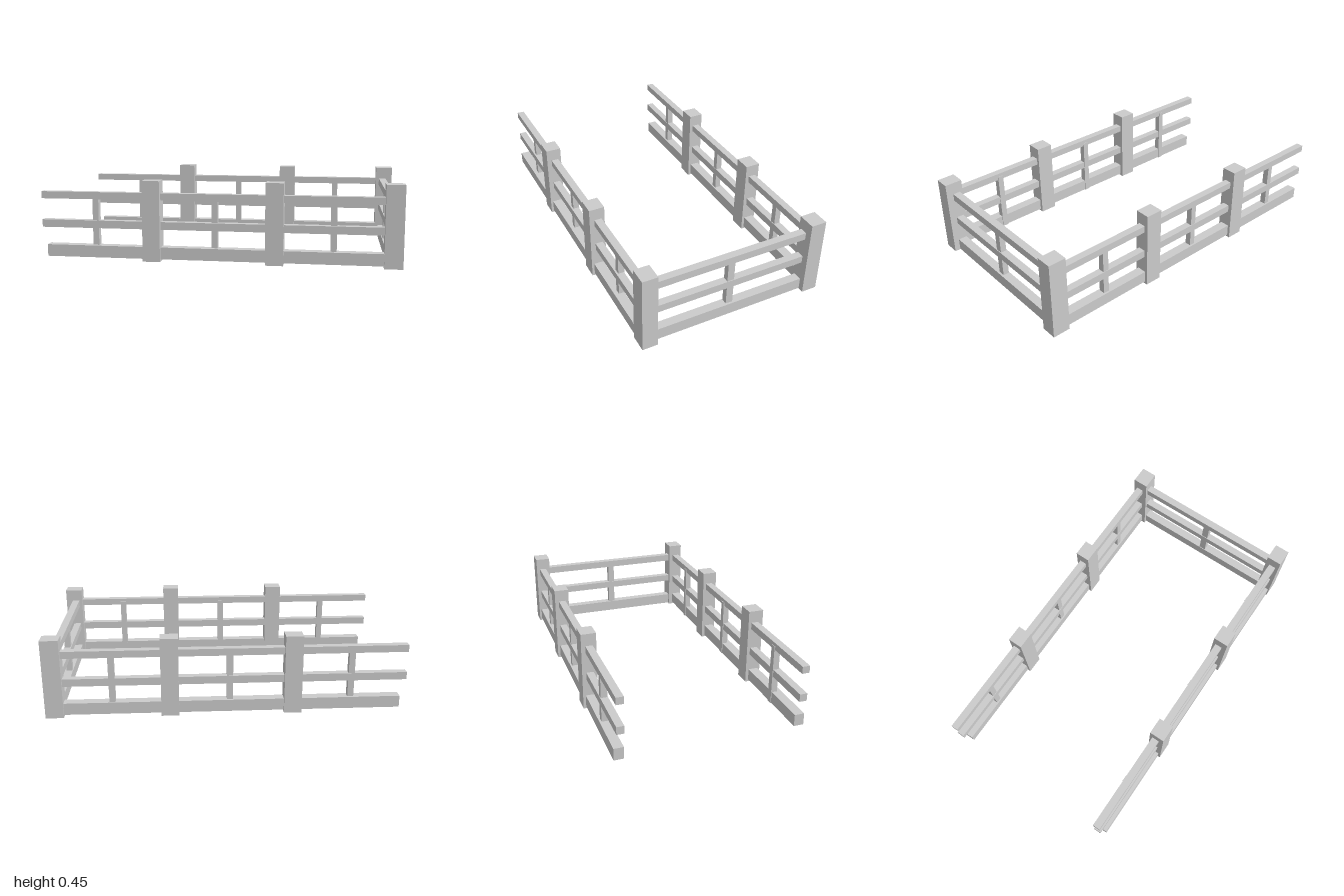
import * as THREE from 'three';

const material = new THREE.MeshStandardMaterial({ color: 0xcccccc, flatShading: true });

// Box given by its limits along each axis
function block(parent, name, [x0, x1], [y0, y1], [z0, z1]) {
  const mesh = new THREE.Mesh(new THREE.BoxGeometry(x1 - x0, y1 - y0, z1 - z0), material);
  mesh.position.set((x0 + x1) / 2, (y0 + y1) / 2, (z0 + z1) / 2);
  mesh.name = name;
  parent.add(mesh);
}

// Long run of fence along x: open at -x, corner post at +x
function longFence(name, z) {
  const fence = new THREE.Group();
  fence.name = name;
  block(fence, 'topRail', [-1, 0.95], [0.34, 0.38], z.rail);
  block(fence, 'middleRail', [-1, 0.95], [0.177, 0.22], z.rail);
  block(fence, 'bottomRail', [-0.968, 0.95], [0.013, 0.08], z.base);
  for (const x of [-0.364, 0.316]) {
    block(fence, 'post', [x - 0.049, x + 0.049], [0, 0.45], z.post);
  }
  block(fence, 'cornerPost', [0.9, 1], [0, 0.45], z.corner);
  for (const x of [-0.69, -0.015, 0.633]) {
    block(fence, 'baluster', [x - 0.017, x + 0.017], [0.011, 0.36], z.baluster);
  }
  return fence;
}

export function createModel() {
  const model = new THREE.Group();
  model.name = 'fence';

  model.add(longFence('frontFence', {
    rail: [0.468, 0.51], base: [0.468, 0.524], post: [0.45, 0.538],
    corner: [0.443, 0.53], baluster: [0.464, 0.5],
  }));
  model.add(longFence('backFence', {
    rail: [-0.515, -0.474], base: [-0.523, -0.469], post: [-0.538, -0.453],
    corner: [-0.536, -0.447], baluster: [-0.512, -0.477],
  }));

  // Short run joining the two corner posts
  const side = new THREE.Group();
  side.name = 'sideFence';
  const span = [-0.49, 0.485];
  block(side, 'topRail', [0.918, 0.96], [0.337, 0.38], span);
  block(side, 'middleRail', [0.918, 0.96], [0.18, 0.223], span);
  block(side, 'bottomRail', [0.918, 0.968], [0.003, 0.07], span);
  block(side, 'baluster', [0.922, 0.956], [0.01, 0.36], [-0.018, 0.022]);
  model.add(side);

  return model;
}
